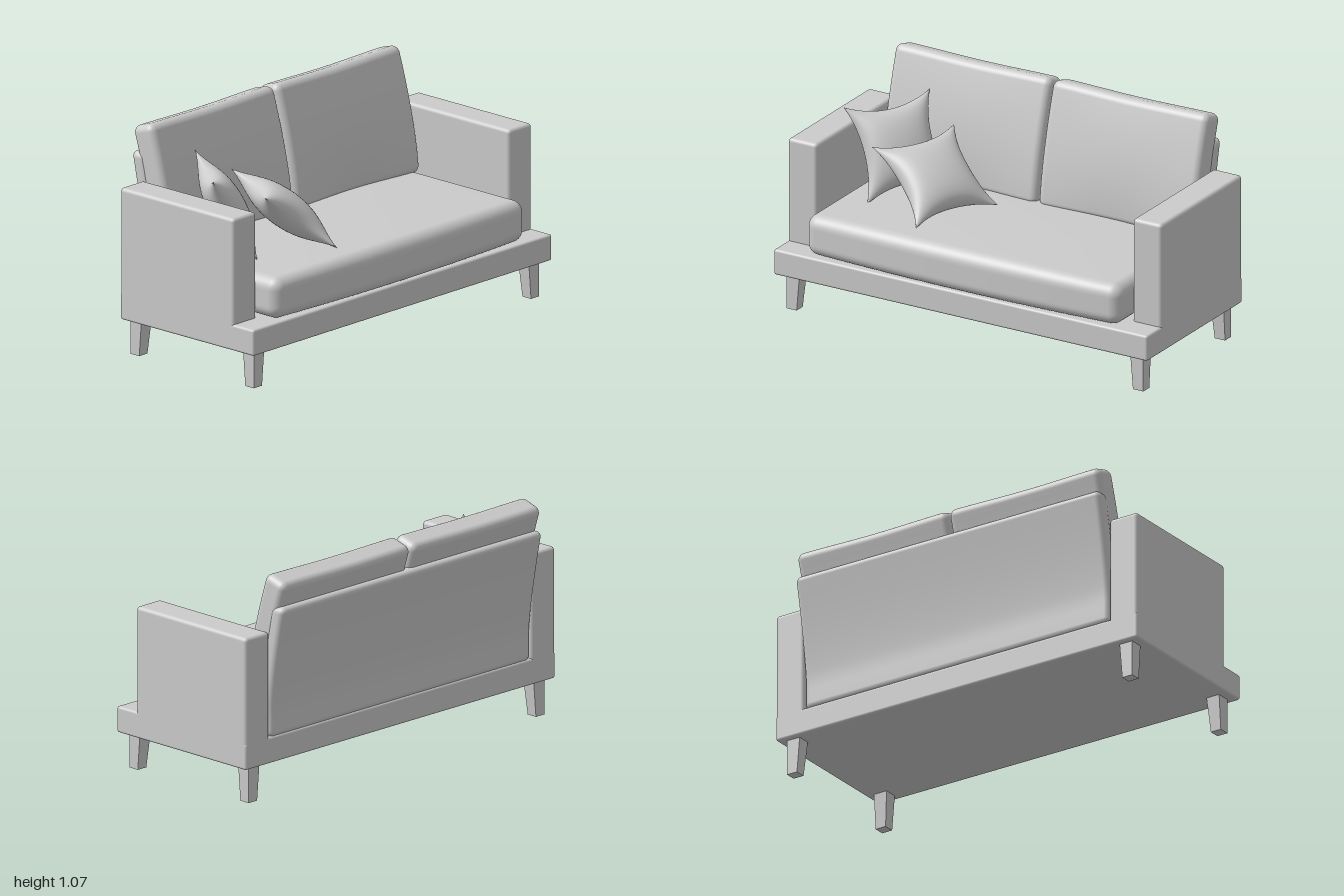
import * as THREE from 'three';
import { mergeVertices } from 'three/addons/utils/BufferGeometryUtils.js';
import { RoundedBoxGeometry } from 'three/addons/geometries/RoundedBoxGeometry.js';

const material = new THREE.MeshStandardMaterial({ color: 0xcccccc, roughness: 0.9 });

function add(parent, name, geometry) {
  const mesh = new THREE.Mesh(geometry, material);
  mesh.name = name;
  parent.add(mesh);
  return mesh;
}

// Weld a geometry, move its vertices by a rule and smooth the normals
function reshape(geometry, rule) {
  geometry.deleteAttribute('normal');
  geometry.deleteAttribute('uv');
  const p = new THREE.Vector3();
  const pos = geometry.attributes.position;
  for (let i = 0; i < pos.count; i++) {
    rule(p.fromBufferAttribute(pos, i));
    pos.setXYZ(i, p.x, p.y, p.z);
  }
  const welded = mergeVertices(geometry, 1e-5);
  welded.computeVertexNormals();
  return welded;
}

// Rounded box with finely divided faces, so that it can be bent and puffed
function softBox(w, h, d, r, rule) {
  const flat = 8, round = 5, n = 2 * (flat + round);
  const half = new THREE.Vector3(w / 2, h / 2, d / 2);
  const out = new THREE.Vector3();
  return reshape(new THREE.BoxGeometry(n, n, n, n, n, n), (p) => {
    for (const a of ['x', 'y', 'z']) {
      const s = Math.sign(p[a]), t = Math.abs(p[a]);
      out[a] = s * Math.tan(Math.max(0, (t - flat) / round) * Math.PI / 4);
      p[a] = s * Math.min(1, t / flat) * (half[a] - r);
    }
    p.addScaledVector(out.normalize(), r);
    rule(p);
  });
}

// Star-cornered pillow spanned by three neighbouring corners
function pillow(corner, cornerU, cornerV, puff) {
  const c = new THREE.Vector3(...corner);
  const pu = new THREE.Vector3(...cornerU), pv = new THREE.Vector3(...cornerV);
  const centre = pu.clone().add(pv).multiplyScalar(0.5);
  const eu = pu.clone().sub(c).multiplyScalar(0.5);
  const ev = pv.clone().sub(c).multiplyScalar(0.5);
  const en = eu.clone().cross(ev).normalize();
  const n = 28;
  return reshape(new THREE.BoxGeometry(2, 2, 2, n, n, 1), (p) => {
    const u = Math.sin(p.x * Math.PI / 2), v = Math.sin(p.y * Math.PI / 2);
    const a = 1 - u * u, b = 1 - v * v;
    const side = Math.sign(p.z);
    const height = side * puff * Math.pow(Math.max(0, a * b), 0.6);
    p.copy(centre)
      .addScaledVector(eu, u * (1 - 0.23 * b * u * u))
      .addScaledVector(ev, v * (1 - 0.23 * a * v * v))
      .addScaledVector(en, height);
  });
}

export function createModel() {
  const sofa = new THREE.Group();
  sofa.name = 'sofa';

  // Base plinth
  add(sofa, 'base', new RoundedBoxGeometry(2, 0.125, 0.835, 3, 0.012)).position.set(0, 0.2325, 0.0275);

  // Arms and tapered legs, mirrored left and right
  for (const side of [1, -1]) {
    const label = side > 0 ? 'left' : 'right';
    add(sofa, label + 'Arm', new RoundedBoxGeometry(0.155, 0.63, 0.71, 3, 0.018))
      .position.set(side * 0.9225, 0.485, -0.035);

    for (const [place, outerZ, dir] of [['Front', 0.405, 1], ['Back', -0.363, -1]]) {
      const leg = new THREE.BoxGeometry(0.07, 0.175, 0.067);
      const pos = leg.attributes.position;
      for (let i = 0; i < pos.count; i++) {
        const low = pos.getY(i) < 0;
        // the inner faces slope outwards towards the foot
        if (low && pos.getX(i) * side < 0) pos.setX(i, pos.getX(i) + side * 0.015);
        if (low && pos.getZ(i) * dir < 0) pos.setZ(i, pos.getZ(i) + dir * 0.014);
      }
      leg.computeVertexNormals();
      add(sofa, label + place + 'Leg', leg)
        .position.set(side * 0.92, 0.0875, outerZ - dir * 0.0335);
    }
  }

  // Seat cushion with a bowed front and a gentle crown
  add(sofa, 'seatCushion', softBox(1.68, 0.195, 0.74, 0.055, (p) => {
    const across = 1 - (p.x / 0.84) ** 2;
    const depth = 1 - (p.z / 0.37) ** 2;
    if (p.z > 0) p.z += 0.035 * across * p.z / 0.37;
    if (p.y > 0) p.y += (0.012 * across + 0.006 * across * depth) * p.y / 0.0975;
    p.y += 0.395;
    p.z += 0.065;
  }));

  // Back panel, curving backwards above the arms' middle
  add(sofa, 'backPanel', softBox(1.686, 0.64, 0.08, 0.03, (p) => {
    p.y += 0.605;
    p.z -= 0.35 + 0.08 * Math.pow(Math.max(0, (p.y - 0.42) / 0.49), 1.3);
  }));

  // Two leaning back cushions
  for (const side of [1, -1]) {
    add(sofa, side > 0 ? 'leftBackCushion' : 'rightBackCushion',
      softBox(0.834, 0.57, 0.135, 0.035, (p) => {
        const t = (p.y + 0.285) / 0.57;
        const middle = Math.cos(Math.PI * p.x / 0.834) ** 2;
        if (p.z > 0) p.z += (0.012 * Math.sin(Math.PI * t) - 0.02 * (1 - t)) * middle;
        p.y += 0.77 + t * (0.28 * p.z - 0.005 * middle);
        p.z -= 0.285 + 0.125 * Math.pow(Math.max(0, (p.y - 0.48) / 0.57), 1.5);
        p.x += side * 0.421;
      }));
  }

  // Two loose pillows at the right end
  add(sofa, 'rearPillow', pillow([-0.86, 0.89, 0.06], [-0.67, 0.49, 0.165], [-0.61, 0.915, -0.285], 0.085));
  add(sofa, 'frontPillow', pillow([-0.635, 0.785, 0.18], [-0.31, 0.505, 0.325], [-0.44, 0.8, -0.22], 0.085));

  return sofa;
}
